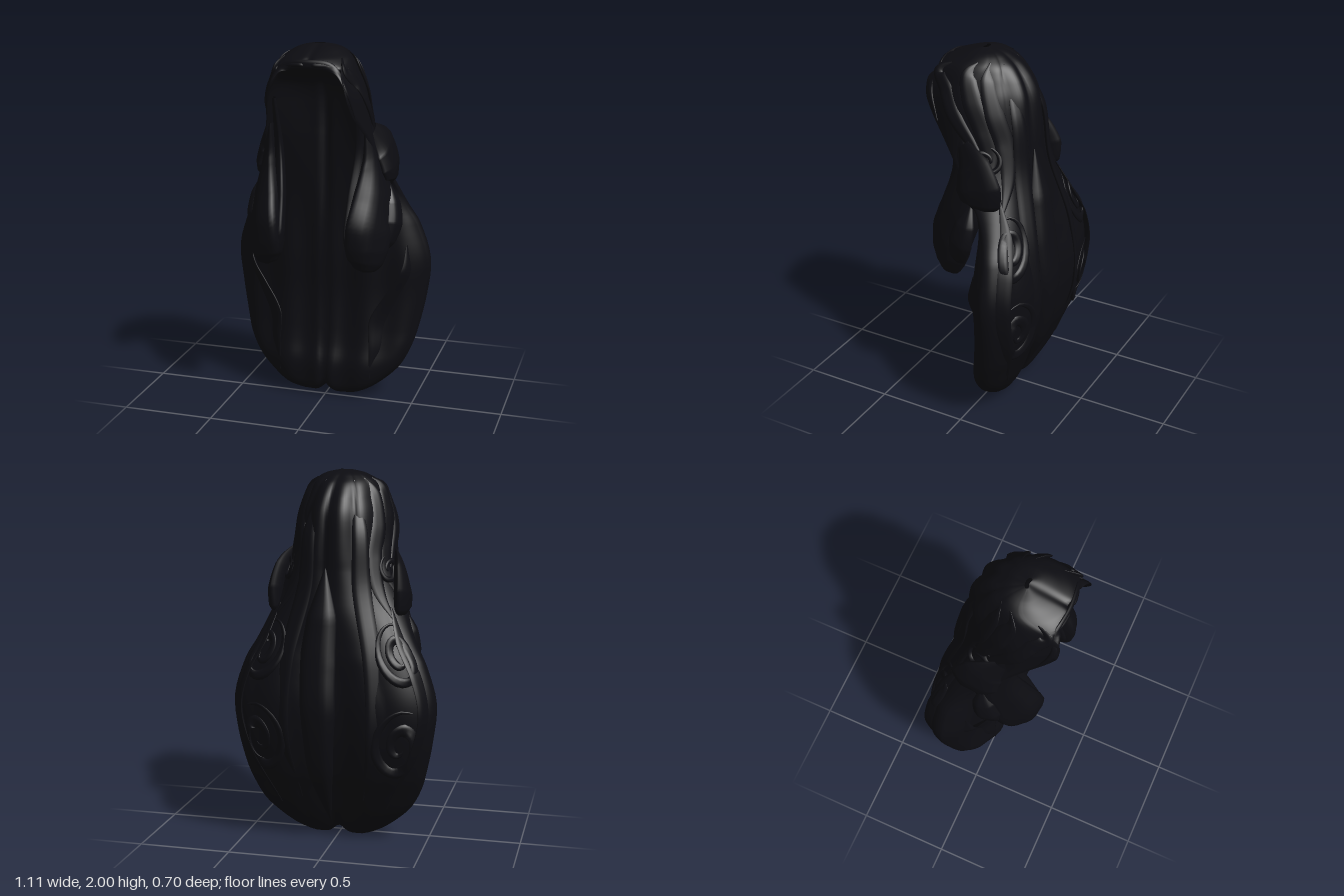
import * as THREE from 'three';

const material = new THREE.MeshStandardMaterial({ color: 0x0c0c11, side: THREE.DoubleSide });
const rad = THREE.MathUtils.degToRad;

// Profile rows: height, half width, back z, side z, front (or inner wall) z
const rows = [
  [2.0, 0.03, 0.08, 0.1, 0.12], [1.985, 0.1, 0.01, 0.1, 0.17], [1.96, 0.15, -0.04, 0.12, 0.25],
  [1.935, 0.185, -0.08, 0.19, 0.31], [1.9, 0.215, -0.115, 0.28, 0.32], [1.86, 0.237, -0.145, 0.335, 0.16],
  [1.8, 0.262, -0.175, 0.345, 0.05], [1.74, 0.277, -0.19, 0.335, 0.015], [1.65, 0.285, -0.2, 0.285, 0.0],
  [1.55, 0.29, -0.207, 0.2, -0.005], [1.48, 0.3, -0.21, 0.14, -0.005], [1.35, 0.34, -0.225, 0.04, -0.005],
  [1.2, 0.395, -0.255, -0.07, -0.005], [1.1, 0.44, -0.28, -0.12, -0.005], [1.0, 0.495, -0.31, -0.15, -0.005],
  [0.8, 0.555, -0.345, -0.16, -0.005], [0.6, 0.54, -0.335, -0.16, -0.01], [0.4, 0.5, -0.295, -0.13, 0.005],
  [0.3, 0.47, -0.255, -0.1, 0.02], [0.2, 0.42, -0.215, -0.08, 0.045], [0.1, 0.34, -0.17, -0.06, 0.045],
  [0.04, 0.265, -0.13, -0.05, 0.03], [0.01, 0.19, -0.085, -0.05, -0.015], [0.0, 0.14, -0.055, -0.05, -0.045],
];

// Smooth interpolation through the rows
function profile(y) {
  let i = 0;
  while (i < rows.length - 2 && y < rows[i + 1][0]) i++;
  const a = rows[i], b = rows[i + 1], before = rows[Math.max(i - 1, 0)], after = rows[Math.min(i + 2, rows.length - 1)];
  const h = b[0] - a[0], t = THREE.MathUtils.clamp((y - a[0]) / h, 0, 1);
  return a.map((v, k) => {
    const m0 = (b[k] - before[k]) / (b[0] - before[0]) * h, m1 = (after[k] - v) / (after[0] - a[0]) * h;
    const d = b[k] - v;
    return v + t * (m0 + t * (3 * d - 2 * m0 - m1 + t * (m0 + m1 - 2 * d)));
  });
}

// Point on the hair mass; angle 0 is the back, +-90 degrees the sides, 180 the front or inner wall
function hairPoint(y, angle) {
  const [, w, zBack, zSide, zFront] = profile(y);
  const s = Math.sin(angle), c = Math.cos(angle), ac = Math.abs(c);
  const low = THREE.MathUtils.smoothstep(1.3 - y, 0, 0.4);
  let x = w * Math.sign(s) * Math.pow(Math.abs(s), 0.9), depth;
  if (c >= 0) {
    const ridge = 1 + 0.05 * ac * (Math.abs(Math.sin(7 * angle + Math.sin(3 * y))) - 0.7);
    const valley = 1 - 0.3 * low * Math.exp(-((x / 0.16) ** 2));
    depth = (zBack - zSide) * Math.pow(ac, 0.82) * ridge * valley;
  } else {
    x *= 1 - 0.1 * Math.sqrt(ac);
    depth = (zFront - zSide) * Math.pow(ac, 0.7);
    depth += -0.02 * Math.exp(-((x / 0.025) ** 2)) + 0.01 * low * Math.cos(x * 28) * ac;
  }
  // sides of the hood turn in towards the face
  const z = zSide + depth;
  x *= 1 - 0.24 * THREE.MathUtils.smoothstep(z, 0.1, 0.35);
  // two rounded lobes at the hem
  const hem = 1 - THREE.MathUtils.smoothstep(y, 0, 0.2);
  const lift = hem * (0.04 * Math.exp(-((x / 0.04) ** 2)) + 0.15 * Math.max(0, Math.abs(x) - 0.13));
  return new THREE.Vector3(x, y + lift, z);
}

// Closed rings of points joined into a smooth surface
function loft(rings, flip) {
  const n = rings[0].length, positions = [], index = [];
  rings.forEach(ring => ring.forEach(p => positions.push(p.x, p.y, p.z)));
  for (let i = 0; i < rings.length - 1; i++) for (let j = 0; j < n; j++) {
    const a = i * n + j, b = i * n + (j + 1) % n, c = a + n, d = b + n;
    if (flip) index.push(a, b, c, b, d, c);
    else index.push(a, c, b, b, c, d);
  }
  const g = new THREE.BufferGeometry();
  g.setAttribute('position', new THREE.Float32BufferAttribute(positions, 3));
  g.setIndex(index);
  g.computeVertexNormals();
  return g;
}

// Grooved flat strand along points; normals give its outward direction
function strand(points, normals, widths, depths) {
  const curve = new THREE.CatmullRomCurve3(points), steps = 48;
  const pick = (list, t) => {
    const f = t * (list.length - 1), i = Math.min(Math.floor(f), list.length - 2);
    const k = f - i;
    return list[i].isVector3 ? list[i].clone().lerp(list[i + 1], k) : list[i] + (list[i + 1] - list[i]) * k;
  };
  const rings = [];
  for (let i = 0; i <= steps; i++) {
    const t = i / steps, p = curve.getPoint(t), tangent = curve.getTangent(t);
    const n = pick(normals, t).normalize();
    const side = tangent.clone().cross(n).normalize();
    const w = pick(widths, t), d = pick(depths, t), ring = [];
    for (let j = 0; j < 24; j++) {
      const q = j / 24 * Math.PI * 2, r = 1 + 0.04 * Math.cos(6 * q);
      ring.push(p.clone().addScaledVector(side, w * r * Math.cos(q)).addScaledVector(n, d * r * Math.sin(q)));
    }
    rings.push(ring);
  }
  return loft(rings, false);
}

// Strand that lies on the hair mass, from [height, degrees] pairs
function surfaceStrand(path, width, depth, mirror = 1) {
  const points = [], normals = [];
  path.forEach(([y, deg]) => {
    const a = rad(deg) * mirror, n = new THREE.Vector3(Math.sin(a), 0, -Math.cos(a));
    points.push(hairPoint(y, a).addScaledVector(n, depth * 0.1));
    normals.push(n);
  });
  return strand(points, normals, [0.004, width * 0.8, width, width, width * 0.7, 0.004],
    [0.003, depth, depth, depth, depth * 0.8, 0.003]);
}

// Spiral path for a curl lying on the surface
function curlPath(y, deg, radius, turns) {
  const path = [], [, w] = profile(y);
  for (let i = 0; i <= 24; i++) {
    const t = i / 24, r = radius * (1 - 0.85 * t), q = t * turns * Math.PI * 2 + 1.2;
    path.push([y + r * Math.sin(q), deg + THREE.MathUtils.radToDeg(r / w) * Math.cos(q)]);
  }
  return path;
}

export function createModel() {
  const model = new THREE.Group();
  model.name = 'longHair';
  const add = (geometry, name) => {
    const mesh = new THREE.Mesh(geometry, material);
    mesh.name = name;
    model.add(mesh);
  };

  // Main mass: hollow around the face, full below
  const heights = [];
  for (let i = 0; i < rows.length - 1; i++) for (let k = 0; k < 4; k++) {
    heights.push(rows[i][0] + (rows[i + 1][0] - rows[i][0]) * k / 4);
  }
  heights.push(0);
  add(loft(heights.map(y => Array.from({ length: 144 }, (_, j) =>
    hairPoint(y, j / 144 * Math.PI * 2 - Math.PI / 2))), true), 'hairMass');

  // Strand down the middle of the back, and the rolled edge above the face
  add(surfaceStrand([[1.5, 6], [1.25, 6], [1.0, 6], [0.75, 5], [0.4, 5], [0.08, 4]], 0.1, 0.05), 'backCentreStrand');
  add(surfaceStrand([[1.64, 271], [1.8, 268], [1.895, 235], [1.915, 180], [1.895, 125], [1.8, 92], [1.64, 89]], 0.024, 0.013), 'fringeEdge');

  const strands = [
    // name, path, width, depth
    ['fringe', [[1.94, 100], [1.89, 88], [1.81, 78], [1.7, 74], [1.58, 70], [1.45, 62]], 0.04, 0.012],
    ['crownStrand', [[1.96, 75], [1.9, 66], [1.78, 60], [1.62, 56], [1.48, 58], [1.35, 70]], 0.05, 0.012],
    ['crownStrand', [[1.96, 50], [1.88, 48], [1.72, 46], [1.55, 42], [1.38, 44], [1.22, 58]], 0.05, 0.012],
    ['backStrand', [[1.95, 25], [1.7, 26], [1.4, 26], [1.0, 26], [0.6, 24], [0.25, 20]], 0.05, 0.014],
    ['outerStrand', [[1.3, 56], [1.12, 58], [0.95, 62], [0.75, 63], [0.5, 56], [0.2, 42]], 0.05, 0.012],
    ['innerStrand', [[0.9, 118], [0.75, 122], [0.6, 132], [0.45, 142], [0.3, 140], [0.12, 130]], 0.06, 0.012],
    ['templeCurl', curlPath(1.49, 62, 0.08, 1.6), 0.018, 0.018],
    ['sideCurl', curlPath(1.05, 50, 0.17, 1.8), 0.03, 0.014],
    ['lowCurl', curlPath(0.58, 44, 0.2, 1.7), 0.035, 0.012],
  ];
  const v = (x, y, z) => new THREE.Vector3(x, y, z);
  for (const s of [1, -1]) {
    const label = s > 0 ? 'left' : 'right';
    strands.forEach(([name, path, w, d], i) =>
      add(surfaceStrand(path, w, d, s), `${label} ${name} ${i + 1}`));

    // Broad lock hanging in front of the shoulder
    add(strand(
      [v(0.265 * s, 1.58, 0.11), v(0.285 * s, 1.38, 0.06), v(0.29 * s, 1.2, 0.09), v(0.285 * s, 1.04, 0.15), v(0.28 * s, 0.93, 0.165), v(0.275 * s, 0.86, 0.175), v(0.27 * s, 0.82, 0.185), v(0.27 * s, 0.805, 0.19)],
      [v(s, 0, 0.1), v(s, 0, 0.5), v(s, 0, 0.8), v(s, 0, 0.8)], [0.04, 0.11, 0.145, 0.16, 0.14, 0.11, 0.065, 0.004],
      [0.015, 0.045, 0.075, 0.085, 0.085, 0.07, 0.045, 0.004]), `${label} frontLock`);
    // Thinner lock along its inner edge
    add(strand(
      [v(0.22 * s, 1.72, 0.2), v(0.23 * s, 1.45, 0.1), v(0.22 * s, 1.2, 0.13), v(0.22 * s, 1.0, 0.18), v(0.23 * s, 0.89, 0.19), v(0.24 * s, 0.85, 0.19)],
      [v(s, 0, 0.5), v(s, 0, 0.7)], [0.01, 0.05, 0.075, 0.085, 0.06, 0.004], [0.01, 0.025, 0.035, 0.04, 0.035, 0.004]), `${label} innerLock`);
    // Wave folded over the top of the lock
    add(strand(
      [v(0.285 * s, 1.56, 0.08), v(0.325 * s, 1.46, 0.0), v(0.345 * s, 1.36, -0.04), v(0.345 * s, 1.28, -0.05), v(0.34 * s, 1.22, -0.04)],
      [v(s, 0, 0.1), v(s, 0, -0.1)], [0.04, 0.11, 0.13, 0.11, 0.01], [0.01, 0.035, 0.042, 0.04, 0.01]), `${label} earWave`);
    // Small tuft on the outside of the lock
    add(strand(
      [v(0.35 * s, 1.26, 0.0), v(0.38 * s, 1.16, 0.02), v(0.39 * s, 1.05, 0.045), v(0.37 * s, 0.95, 0.075), v(0.35 * s, 0.9, 0.09)],
      [v(s, 0, 0.2), v(s, 0, 0.3)], [0.01, 0.06, 0.075, 0.055, 0.005], [0.01, 0.035, 0.042, 0.03, 0.005]), `${label} outerTuft`);
  }
  return model;
}
